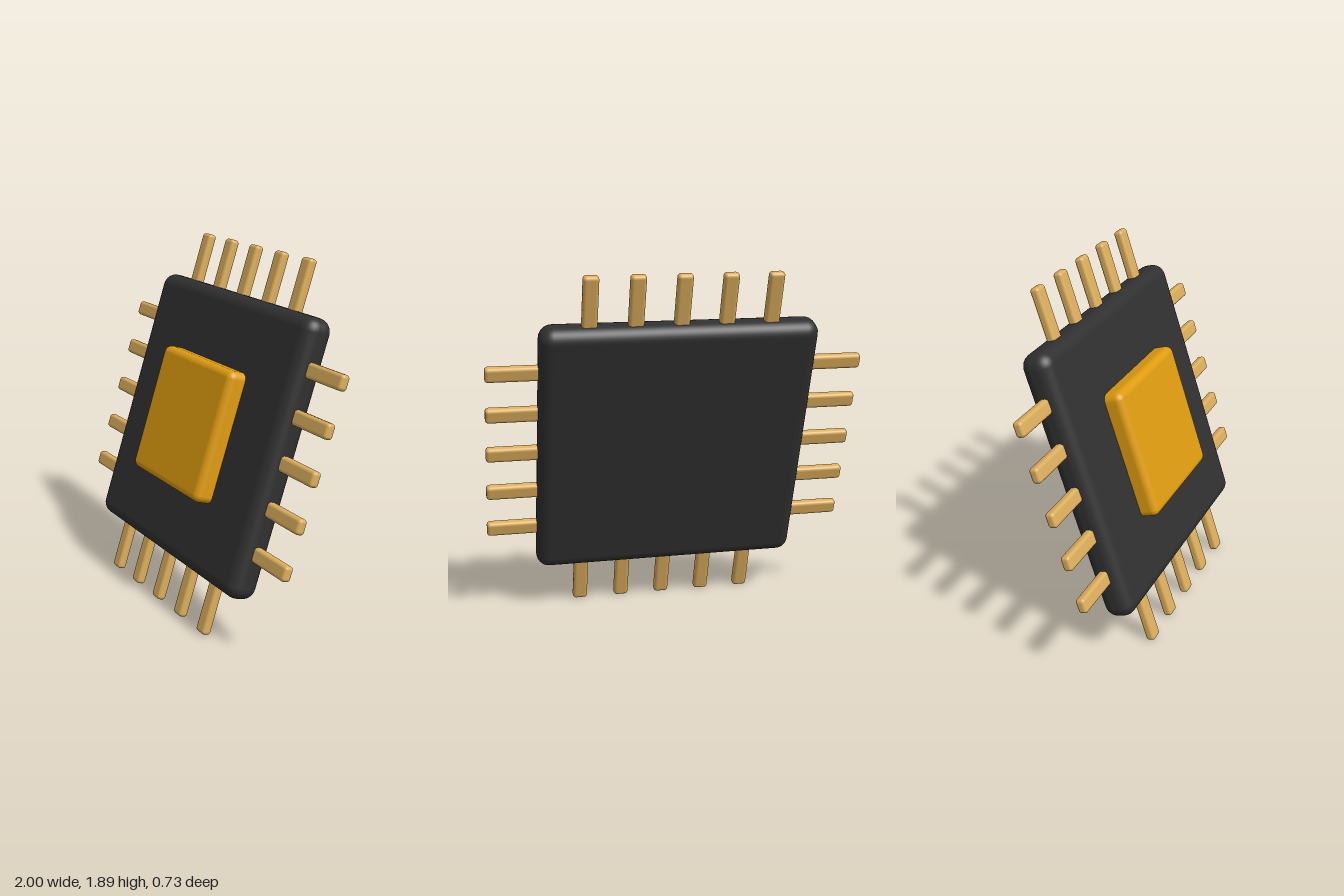
import * as THREE from 'three';
import { RoundedBoxGeometry } from 'three/addons/geometries/RoundedBoxGeometry.js';

const paint = (name, color) => {
  const m = new THREE.MeshStandardMaterial({ color });
  m.name = name;
  return m;
};

export function createModel() {
  const charcoal = paint('charcoal', 0x303030);
  const amber = paint('amber', 0xe09c10);
  const brass = paint('brass', 0xdcae5c);

  const model = new THREE.Group();
  model.name = 'microchip';

  // The whole chip leans back and is turned slightly
  const chip = new THREE.Group();
  chip.name = 'tiltedChip';
  chip.rotation.set(-0.318, -0.074, 0, 'YXZ');
  chip.position.y = 0.95;
  model.add(chip);

  const block = (name, w, h, d, r, material, parent) => {
    const mesh = new THREE.Mesh(new RoundedBoxGeometry(w, h, d, 4, r), material);
    mesh.name = name;
    parent.add(mesh);
    return mesh;
  };

  // Dark body with a raised core on the front
  block('body', 1.45, 1.45, 0.168, 0.07, charcoal, chip);
  block('core', 0.694, 0.7, 0.16, 0.04, amber, chip).position.z = 0.1;

  // Five pins on each of the four edges
  const inner = 0.68, outer = 0.992, spacing = 0.236;
  ['right', 'top', 'left', 'bottom'].forEach((side, i) => {
    const row = new THREE.Group();
    row.name = side + 'Pins';
    row.rotation.z = i * Math.PI / 2;
    for (let k = -2; k <= 2; k++) {
      const pin = block('pin', outer - inner, 0.08, 0.05, 0.018, brass, row);
      pin.position.set((inner + outer) / 2, k * spacing, 0);
    }
    chip.add(row);
  });

  return model;
}
